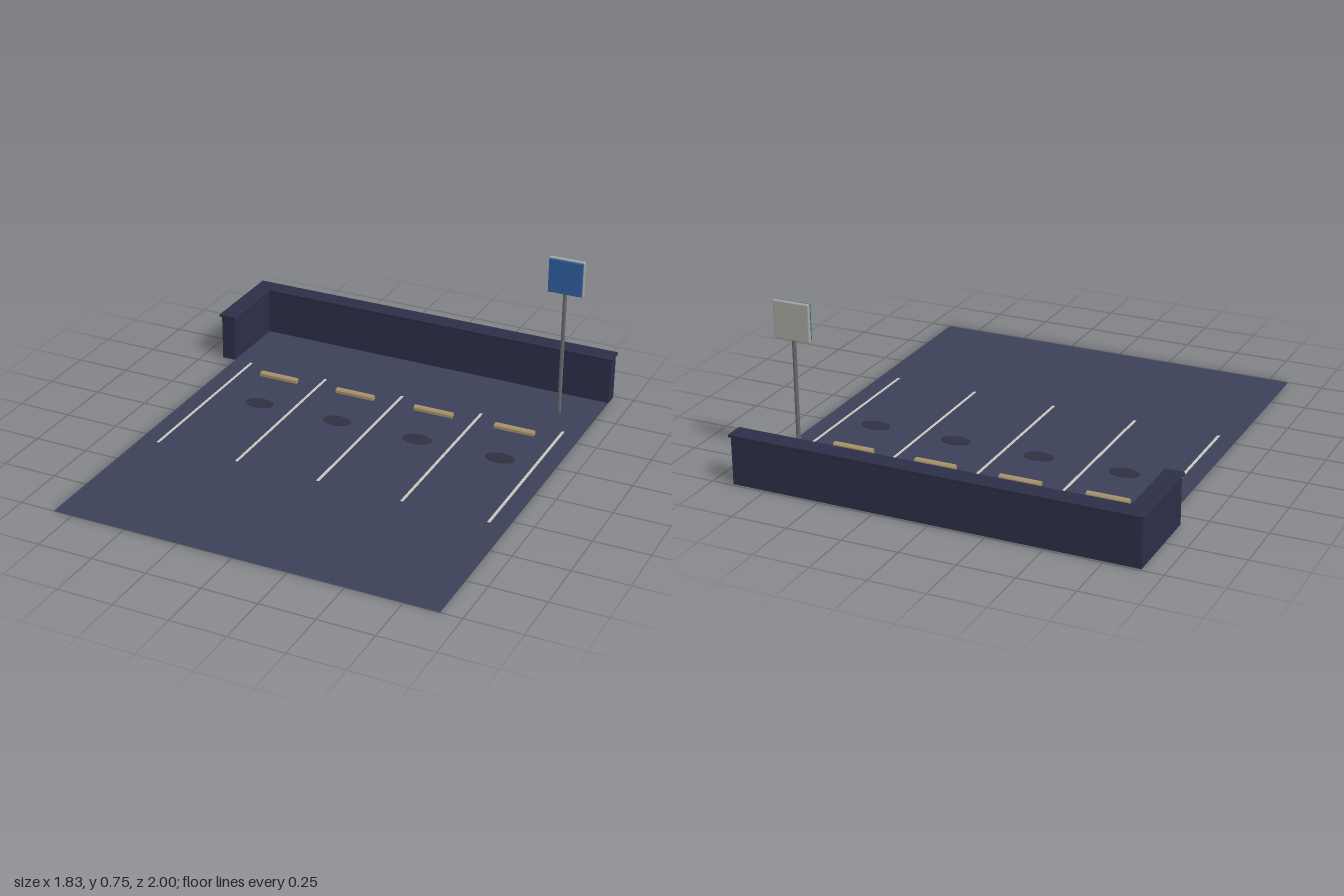
import * as THREE from 'three';
import { RoundedBoxGeometry } from 'three/addons/geometries/RoundedBoxGeometry.js';

const mat = (color, extra = {}) => {
  const m = new THREE.MeshStandardMaterial({ color, ...extra });
  return m;
};

export function createModel() {
  const group = new THREE.Group();
  const wallMat = mat(0x2c2e48, { flatShading: true });
  const groundMat = mat(0x3c4058, { side: THREE.DoubleSide });
  const lineMat = mat(0xc4c4bc, { side: THREE.DoubleSide });
  const stainMat = mat(0x2e3042);
  const stopMat = mat(0xa8926a, { flatShading: true });
  const poleMat = mat(0x66686c);
  const frameMat = mat(0xa4a49e);
  const blueMat = mat(0x2f5f9f);

  const add = (name, geometry, material, x = 0, y = 0, z = 0) => {
    const mesh = new THREE.Mesh(geometry, material);
    mesh.name = name;
    mesh.position.set(x, y, z);
    group.add(mesh);
    return mesh;
  };

  // Upright L-shaped prism: long run along the back, short return on the right side
  const lPrism = (x0, x1, xIn, zBack, zIn, zEnd, height, bevel = 0) => {
    const b = bevel;
    const shape = new THREE.Shape([
      [x0 + b, -zEnd + b], [xIn - b, -zEnd + b], [xIn - b, -zIn + b],
      [x1 - b, -zIn + b], [x1 - b, -zBack - b], [x0 + b, -zBack - b],
    ].map(([x, y]) => new THREE.Vector2(x, y)));
    const geo = new THREE.ExtrudeGeometry(shape, {
      depth: height - 2 * b, bevelEnabled: b > 0,
      bevelSize: b, bevelThickness: b, bevelSegments: 1,
    });
    return geo.translate(0, 0, b).rotateX(-Math.PI / 2);
  };

  // Ground sheet
  const ground = new THREE.PlaneGeometry(1.745, 1.925).rotateX(-Math.PI / 2);
  add('ground', ground, groundMat, 0.0325, 0, 0.0375);

  // Low wall and its coping
  add('wall', lPrism(-0.905, 0.905, -0.84, -0.99, -0.925, -0.573, 0.214), wallMat);
  add('wallCap', lPrism(-0.915, 0.912, -0.83, -1, -0.916, -0.565, 0.016, 0.004), wallMat, 0, 0.213, 0);

  // Painted bay lines
  const pitch = 0.3925;
  const line = new THREE.PlaneGeometry(0.014, 0.875).rotateX(-Math.PI / 2);
  for (let i = 0; i < 5; i++) {
    add('bayLine', line, lineMat, -0.753 + i * pitch, 0.002, -0.1375);
  }

  // Wheel stop: chamfered bar
  const profile = new THREE.Shape([
    [-0.014, 0], [0.014, 0], [0.014, 0.013], [0.008, 0.02], [-0.008, 0.02], [-0.014, 0.013],
  ].map(([x, y]) => new THREE.Vector2(x, y)));
  const stop = new THREE.ExtrudeGeometry(profile, { depth: 0.188, bevelEnabled: false })
    .translate(0, 0, -0.094).rotateY(Math.PI / 2);
  const stain = new THREE.CylinderGeometry(1, 1, 0.002, 24);

  // One stop and one oil stain in each bay
  for (let i = 0; i < 4; i++) {
    add('wheelStop', stop, stopMat, -0.558 + i * pitch, 0.001, -0.486);
    add('oilStain', stain, stainMat, -0.523 + i * pitch, 0.003, -0.225).scale.set(0.068, 1, 0.043);
  }

  // Sign on its post
  add('signPost', new THREE.CylinderGeometry(0.009, 0.009, 0.62, 12), poleMat, 0.732, 0.31, -0.746);
  add('signBoard', new RoundedBoxGeometry(0.168, 0.168, 0.018, 2, 0.006), frameMat, 0.732, 0.666, -0.756);
  add('signFace', new THREE.BoxGeometry(0.156, 0.156, 0.014), blueMat, 0.732, 0.666, -0.742);

  return group;
}
